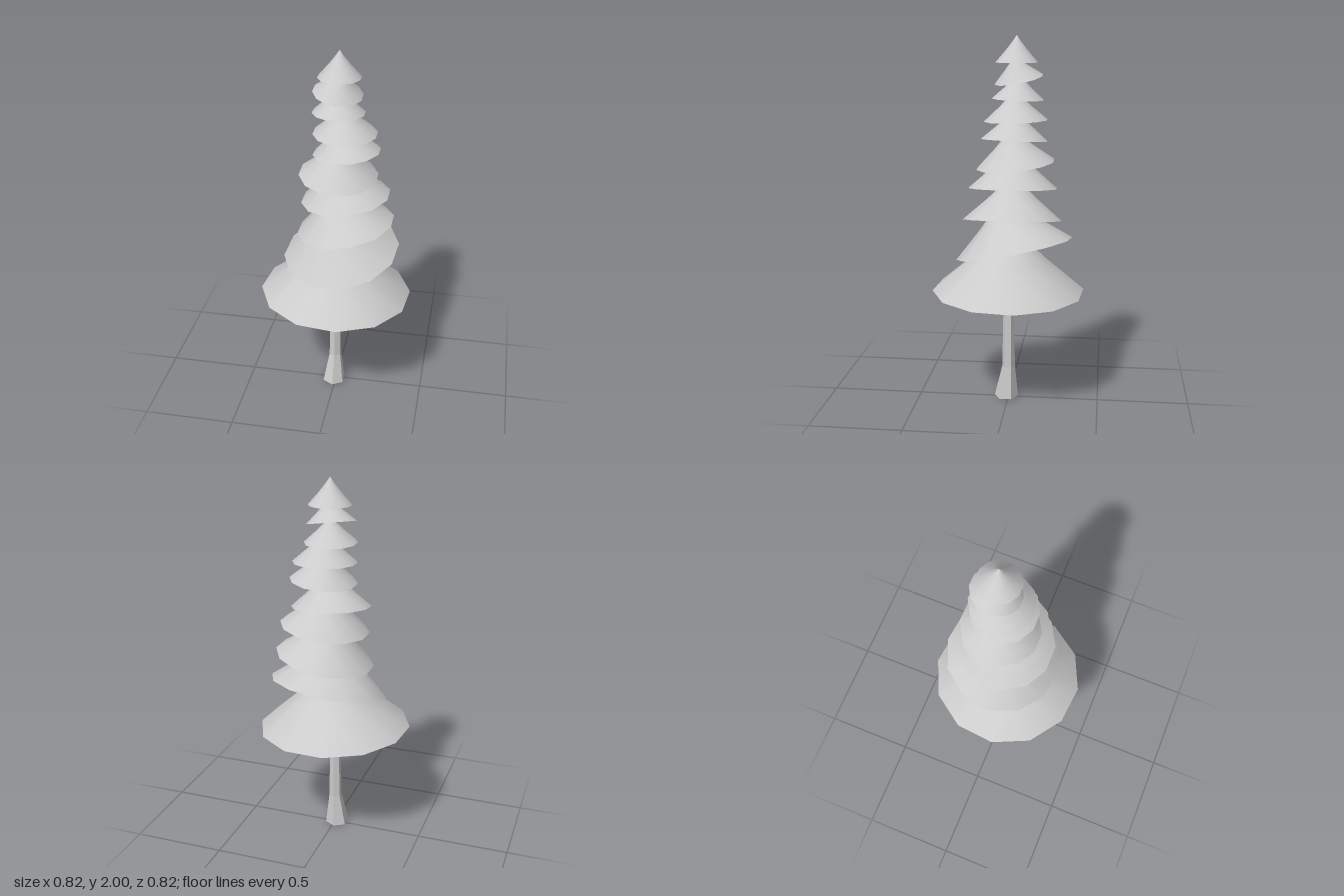
import * as THREE from 'three';

const material = new THREE.MeshStandardMaterial({ color: 0xcccccc, side: THREE.DoubleSide });
const barkMaterial = new THREE.MeshStandardMaterial({ color: 0xcccccc, flatShading: true });

// Foliage tiers: rim centre x, y, z, radius, rise of the rim per unit along x and z,
// height / radius, spin in degrees
const TIERS = [
  [0, 0.627, 0, 0.416, -0.03, 0.012, 0.92, 9.7],
  [0.023, 0.867, -0.035, 0.32, 0.12, -0.21, 0.94, 8],
  [0.047, 1.03, -0.027, 0.268, 0.18, 0, 0.94, 15],
  [0.047, 1.203, -0.03, 0.24, 0.12, 0, 0.94, 15],
  [0.007, 1.325, -0.039, 0.212, -0.05, -0.11, 0.94, 15],
  [0.05, 1.46, -0.037, 0.179, 0.087, 0.03, 0.94, 15],
  [0.04, 1.562, -0.043, 0.17, 0, -0.03, 0.94, 15],
  [0.005, 1.67, -0.05, 0.139, 0, 0.037, 0.98, 15],
  [0, 1.772, -0.055, 0.131, -0.137, -0.18, 0.98, 15],
  [0.01, 1.86, -0.045, 0.113, 0, 0, 1.24, 15],
];

// Trunk cross-sections: centre x, y, z, radius
const TRUNK = [
  [-0.01, 0, 0.012, 0.066],
  [-0.004, 0.18, -0.001, 0.036],
  [-0.002, 0.6, -0.001, 0.027],
  [0.008, 1.2, -0.03, 0.02],
  [0.01, 1.93, -0.045, 0.008],
];

// Open twelve-sided cone with a slightly hollow slope, tilted about its rim centre
function makeTier([x, y, z, r, slopeX, slopeZ, ratio, spin]) {
  const h = r * ratio;
  const profile = [[r, 0], [r * 0.5, h * 0.46], [r * 0.2, h * 0.77], [0, h]]
    .map(([px, py]) => new THREE.Vector2(px, py));
  const geometry = new THREE.LatheGeometry(profile, 12, THREE.MathUtils.degToRad(spin));
  const tier = new THREE.Mesh(geometry, material);
  const axis = new THREE.Vector3(-slopeX, 1, -slopeZ).normalize();
  tier.quaternion.setFromUnitVectors(new THREE.Vector3(0, 1, 0), axis);
  tier.position.set(x, y, z);
  return tier;
}

// Six-sided flared trunk, each ring moved to its own centre and radius
function makeTrunk() {
  const geometry = new THREE.CylinderGeometry(1, 1, 4, 6, TRUNK.length - 1);
  const p = geometry.attributes.position;
  for (let i = 0; i < p.count; i++) {
    const [cx, cy, cz, r] = TRUNK[Math.round(p.getY(i) + 2)];
    p.setXYZ(i, cx + p.getX(i) * r, cy, cz + p.getZ(i) * r);
  }
  geometry.computeVertexNormals();
  return new THREE.Mesh(geometry, barkMaterial);
}

export function createModel() {
  const tree = new THREE.Group();
  tree.name = 'tree';

  const trunk = makeTrunk();
  trunk.name = 'trunk';
  tree.add(trunk);

  const foliage = new THREE.Group();
  foliage.name = 'foliage';
  TIERS.forEach((spec, i) => {
    const tier = makeTier(spec);
    tier.name = `foliageTier${i + 1}`;
    foliage.add(tier);
  });
  tree.add(foliage);

  return tree;
}
